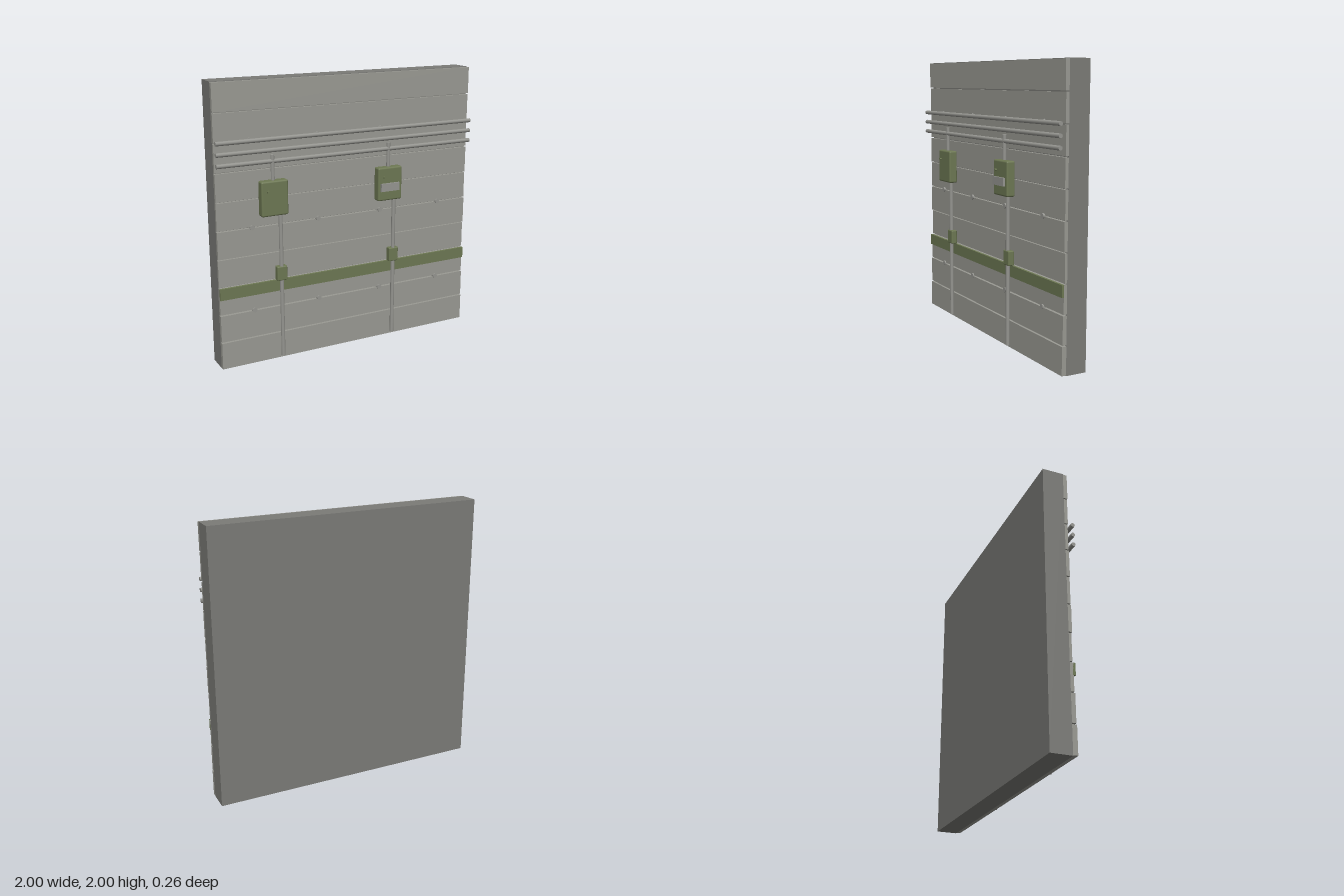
import * as THREE from 'three';
import { RoundedBoxGeometry } from 'three/addons/geometries/RoundedBoxGeometry.js';

const material = (name, color) => Object.assign(new THREE.MeshStandardMaterial({ color }), { name });

export function createModel() {
  const model = new THREE.Group();
  model.name = 'wallPanel';
  const backing = material('dark concrete', 0x7b7b77);
  const concrete = material('light concrete', 0x9a9a93);
  const steel = material('steel', 0x969691);
  const green = material('olive paint', 0x6d7853);

  const add = (name, geometry, mat, x, y, z, parent = model) => {
    const mesh = new THREE.Mesh(geometry, mat);
    mesh.name = name;
    mesh.position.set(x, y, z);
    parent.add(mesh);
    return mesh;
  };
  const box = (name, mat, w, y0, y1, z0, z1, x = 0, parent = model) =>
    add(name, new THREE.BoxGeometry(w, y1 - y0, z1 - z0), mat, x, (y0 + y1) / 2, (z0 + z1) / 2, parent);
  const roundedBox = (name, w, y0, y1, z0, z1, r, x, parent) =>
    add(name, new RoundedBoxGeometry(w, y1 - y0, z1 - z0, 2, r), green, x, (y0 + y1) / 2, (z0 + z1) / 2, parent);
  const rod = (name, r, length, sides, mat, x, y, z, axis, parent = model) => {
    const g = new THREE.CylinderGeometry(r, r, length, sides);
    if (axis === 'x') g.rotateZ(Math.PI / 2);
    if (axis === 'z') g.rotateX(Math.PI / 2);
    return add(name, g, mat, x, y, z, parent);
  };

  // Solid wall with ten cladding planks of uneven depth
  box('wall', backing, 2, 0, 2, -0.13, 0.02);
  const fronts = [0.053, 0.049, 0.044, 0.038, 0.044, 0.041, 0.044, 0.041, 0.044, 0.048];
  fronts.forEach((front, i) =>
    box('plank', concrete, 2, i * 0.2 + 0.004, i * 0.2 + 0.196, 0.02, front));

  // Painted stripe
  box('stripe', green, 2, 0.515, 0.597, 0.04, 0.058);

  // Bolts along three seams
  for (const y of [0.4, 1.0, 1.605])
    for (const x of [-0.75, -0.25, 0.25, 0.75])
      rod('bolt', 0.018, 0.035, 8, steel, x, y, 0.0375, 'z');

  // Horizontal conduits
  for (const y of [1.605, 1.53, 1.455])
    rod('horizontalPipe', 0.015, 2, 8, steel, 0, y, 0.08, 'x');

  // Two electrical boxes with their conduits
  for (const x of [-0.603, 0.297]) {
    const unit = new THREE.Group();
    unit.name = 'electricalUnit';
    unit.position.x = x;
    model.add(unit);
    rod('upperPipe', 0.014, 0.2, 8, steel, 0, 1.4, 0.08, 'y', unit);
    rod('lowerPipe', 0.015, 1.07, 8, steel, 0.05, 0.565, 0.08, 'y', unit);
    roundedBox('cabinet', 0.196, 1.08, 1.325, 0.05, 0.115, 0.012, 0, unit);
    roundedBox('junctionBox', 0.076, 0.6, 0.705, 0.05, 0.096, 0.008, 0.05, unit);
    rod('knob', 0.009, 0.025, 8, green, -0.051, 1.255, 0.118, 'z', unit);
    if (x > 0) box('labelPlate', steel, 0.15, 1.152, 1.21, 0.112, 0.13, -0.005, unit);
  }
  return model;
}
